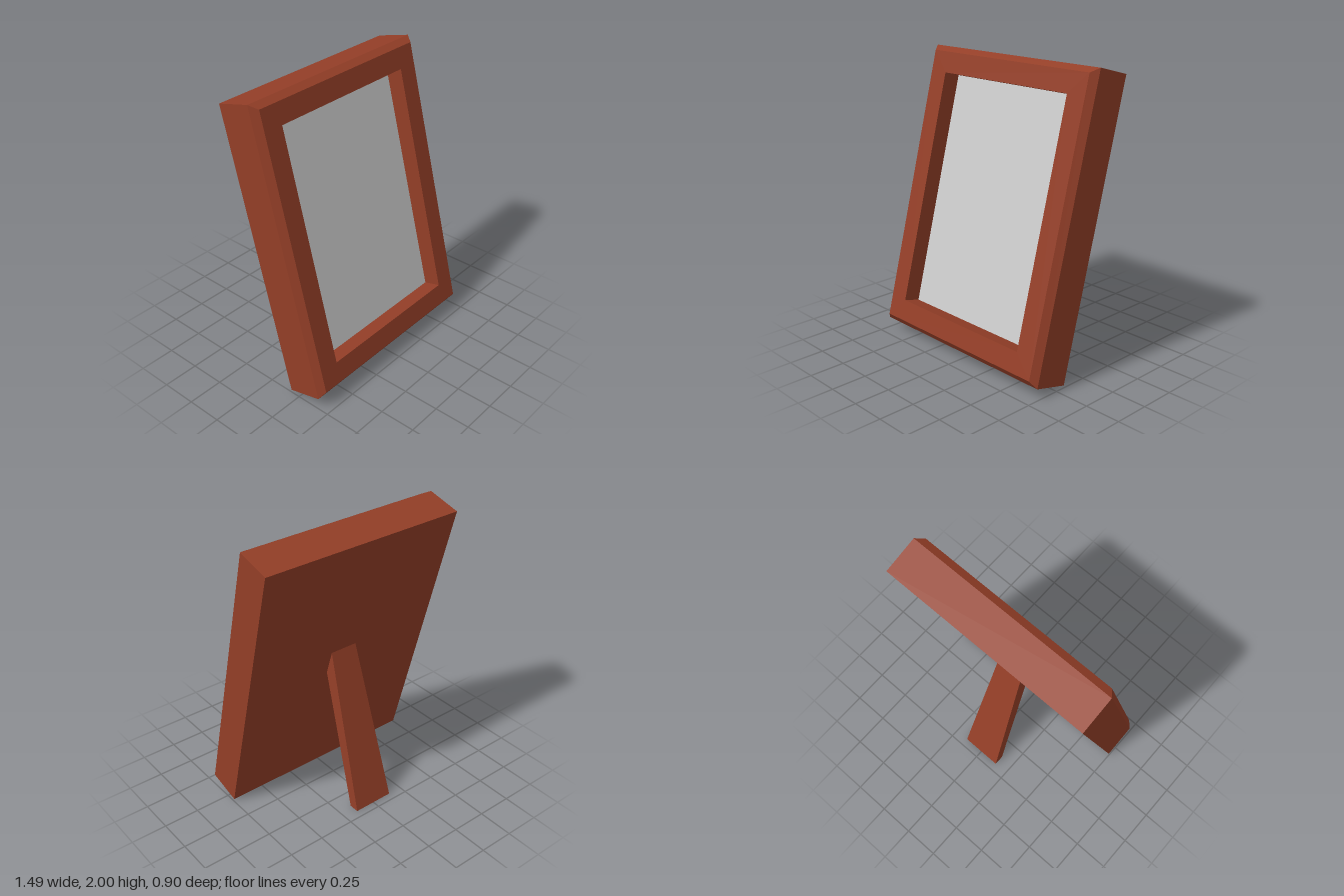
import * as THREE from 'three';

const WIDTH = 1.49, HEIGHT = 1.99, TILT = -0.257;
const wood = new THREE.MeshStandardMaterial({ color: 0x933e27, flatShading: true });
const grey = new THREE.MeshStandardMaterial({ color: 0xcccccc });

// Sweeps a rectangular ring through steps of [inset from the outline, depth]
function rectangleLoft(steps) {
  const rings = steps.map(([inset, z]) => {
    const x = WIDTH / 2 - inset, y = HEIGHT / 2 - inset;
    return [[-x, -y, z], [x, -y, z], [x, y, z], [-x, y, z]];
  });
  const positions = [];
  for (let s = 0; s < rings.length - 1; s++) {
    const a = rings[s], b = rings[s + 1];
    for (let i = 0; i < 4; i++) {
      const j = (i + 1) % 4;
      positions.push(...a[i], ...a[j], ...b[j], ...a[i], ...b[j], ...b[i]);
    }
  }
  const geometry = new THREE.BufferGeometry();
  geometry.setAttribute('position', new THREE.Float32BufferAttribute(positions, 3));
  geometry.computeVertexNormals();
  return geometry;
}

function addMesh(parent, name, geometry, material) {
  const mesh = new THREE.Mesh(geometry, material);
  mesh.name = name;
  parent.add(mesh);
  return mesh;
}

export function createModel() {
  const model = new THREE.Group();
  model.name = 'pictureFrame';

  // Leaning frame, pivoting on its lower back edge
  const leaning = new THREE.Group();
  leaning.name = 'leaningFrame';
  leaning.position.set(0, 0.013, 0.177);
  leaning.rotation.x = TILT;
  model.add(leaning);

  // Sides, bevelled front edge, front border and the walls of the opening
  const border = addMesh(leaning, 'frameBorder',
    rectangleLoft([[0, 0], [0, 0.25], [0.04, 0.295], [0.183, 0.295], [0.183, 0.172]]), wood);
  border.position.y = HEIGHT / 2;

  // Flat back
  const back = addMesh(leaning, 'backBoard', new THREE.PlaneGeometry(WIDTH, HEIGHT), wood);
  back.position.y = HEIGHT / 2;
  back.rotation.y = Math.PI;

  // Recessed picture
  const picture = addMesh(leaning, 'picture',
    new THREE.PlaneGeometry(WIDTH - 0.366, HEIGHT - 0.366), grey);
  picture.position.set(0, HEIGHT / 2, 0.172);

  // Tapered rear leg, its upper end cut flush with the back of the frame
  const leg = new THREE.BoxGeometry(1, 1, 1);
  const p = leg.attributes.position;
  for (let i = 0; i < p.count; i++) {
    const top = p.getY(i) > 0, front = p.getZ(i) > 0;
    const [halfWidth, y, z] = top
      ? (front ? [0.107, 0.93, -0.064] : [0.1, 1.1, -0.108])
      : [0.147, 0, front ? -0.375 : -0.445];
    p.setXYZ(i, Math.sign(p.getX(i)) * halfWidth, y, z);
  }
  leg.computeVertexNormals();
  addMesh(model, 'rearLeg', leg, wood);

  return model;
}
